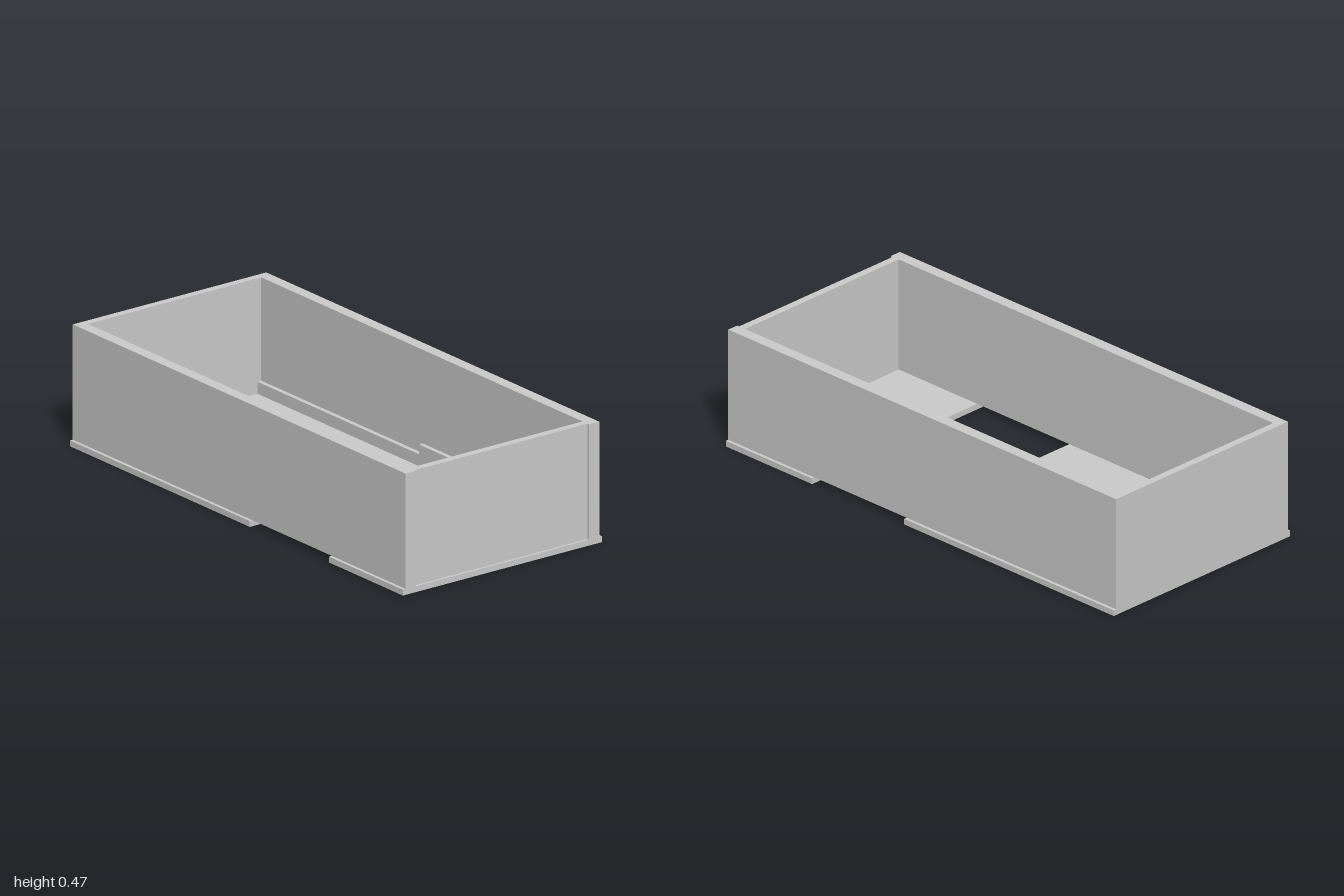
import * as THREE from 'three';

const material = new THREE.MeshStandardMaterial({ color: 0xcccccc, flatShading: true });

// Box given by its minimum and maximum on each axis
function addBox(group, name, [x0, x1], [y0, y1], [z0, z1]) {
  const mesh = new THREE.Mesh(new THREE.BoxGeometry(x1 - x0, y1 - y0, z1 - z0), material);
  mesh.position.set((x0 + x1) / 2, (y0 + y1) / 2, (z0 + z1) / 2);
  mesh.name = name;
  group.add(mesh);
}

export function createModel() {
  const group = new THREE.Group();
  group.name = 'openBox';
  const floorTop = 0.023, rim = 0.475, inner = 0.403, outer = 0.45;

  // Base in two panels with an opening between them
  addBox(group, 'rearFloor', [-0.463, 0.463], [0, floorTop], [-1, 0.08]);
  addBox(group, 'frontFloor', [-0.463, 0.463], [0, floorTop], [0.555, 1]);

  // Walls; the front panel sits slightly recessed between the sides
  addBox(group, 'leftWall', [inner, outer], [floorTop, rim], [-1, 1]);
  addBox(group, 'rightWall', [-outer, -inner], [floorTop, rim], [-1, 1]);
  addBox(group, 'backWall', [-inner, inner], [floorTop, rim], [-1, -0.97]);
  addBox(group, 'frontWall', [-inner, inner], [floorTop, rim], [0.96, 0.99]);

  // Inner rail along the left wall, stepping up over the opening
  const profile = [
    [-0.97, floorTop], [0.08, floorTop], [0.08, 0.065], [0.555, 0.065], [0.555, floorTop], [0.96, floorTop],
    [0.96, 0.07], [0.655, 0.07], [0.655, 0.108], [0, 0.108], [0, 0.07], [-0.97, 0.07],
  ].map(([z, y]) => new THREE.Vector2(-z, y));
  const railGeometry = new THREE.ExtrudeGeometry(new THREE.Shape(profile), { depth: 0.018, bevelEnabled: false });
  const rail = new THREE.Mesh(railGeometry, material);
  rail.rotation.y = Math.PI / 2;
  rail.position.x = 0.385;
  rail.name = 'innerRail';
  group.add(rail);

  return group;
}
